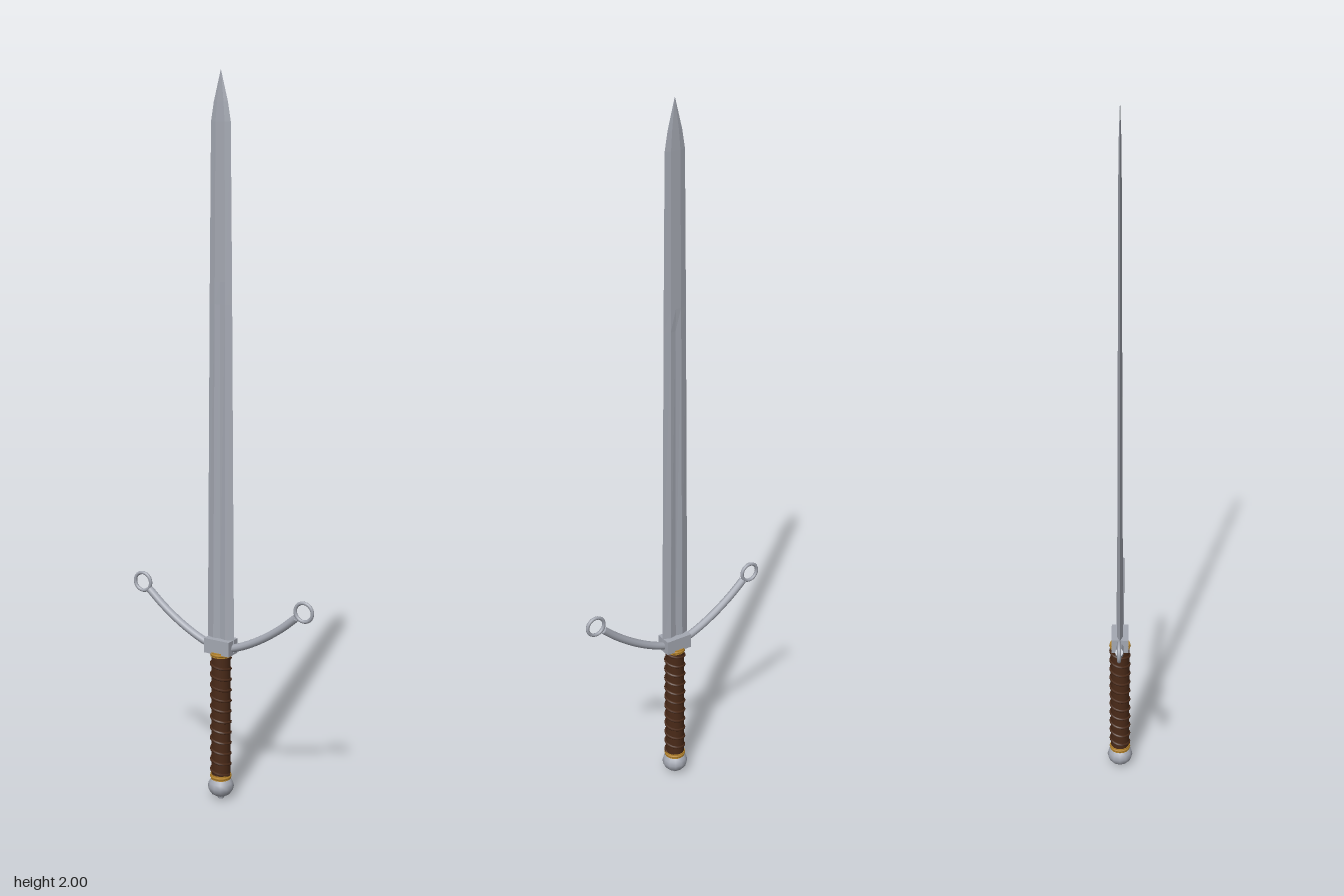
import * as THREE from 'three';

const mat = (color, flatShading = false) => new THREE.MeshStandardMaterial({ color, flatShading });

function add(parent, name, geometry, material, x = 0, y = 0, z = 0) {
  const mesh = new THREE.Mesh(geometry, material);
  mesh.name = name;
  mesh.position.set(x, y, z);
  parent.add(mesh);
  return mesh;
}

// Lofted blade: each station is [height, half width, half thickness, fuller depth]
function bladeGeometry(stations) {
  const pos = [], index = [], n = 8;
  for (const [y, w, t, d] of stations) {
    const r = w * 0.46, c = t - d;
    const ring = [[w, 0], [r, t], [0, c], [-r, t], [-w, 0], [-r, -t], [0, -c], [r, -t]];
    for (const [x, z] of ring) pos.push(x, y, z);
  }
  for (let s = 0; s < stations.length - 1; s++) {
    for (let i = 0; i < n; i++) {
      const a = s * n + i, b = s * n + (i + 1) % n;
      index.push(a, a + n, b, b, a + n, b + n);
    }
  }
  const g = new THREE.BufferGeometry();
  g.setAttribute('position', new THREE.Float32BufferAttribute(pos, 3));
  g.setIndex(index);
  g.computeVertexNormals();
  return g;
}

// Helical cord path around the grip
class Helix extends THREE.Curve {
  constructor(radius, y0, y1, turns) {
    super();
    Object.assign(this, { radius, y0, y1, turns });
  }
  getPoint(t, target = new THREE.Vector3()) {
    const a = t * this.turns * Math.PI * 2;
    return target.set(this.radius * Math.cos(a), this.y0 + (this.y1 - this.y0) * t, this.radius * Math.sin(a));
  }
}

export function createModel() {
  const sword = new THREE.Group();
  sword.name = 'sword';
  const steel = mat(0xa4a8b2), facetedSteel = mat(0xa4a8b2, true);
  const leather = mat(0x4a2a18), gold = mat(0xb8862d);

  // Blade with a shallow fuller that fades out before the point
  add(sword, 'blade', bladeGeometry([
    [0.44, 0.043, 0.009, 0.004],
    [0.6, 0.0415, 0.008, 0.004],
    [1.4, 0.035, 0.0055, 0.002],
    [1.46, 0.0345, 0.005, 0],
    [1.87, 0.03, 0.004, 0],
    [1.92, 0.0215, 0.003, 0],
    [2.0, 0.0004, 0.0004, 0],
  ]), facetedSteel);

  // Crossguard block
  add(sword, 'guardBlock', new THREE.BoxGeometry(0.08, 0.042, 0.048), facetedSteel, 0, 0.454);

  // Upswept arms ending in rings
  for (const side of [1, -1]) {
    const arm = new THREE.Group();
    arm.name = side > 0 ? 'leftGuardArm' : 'rightGuardArm';
    const path = new THREE.CatmullRomCurve3(
      [[0.02, 0.446], [0.07, 0.464], [0.13, 0.495], [0.19, 0.536], [0.237, 0.576]]
        .map(([x, y]) => new THREE.Vector3(x * side, y, 0)));
    add(arm, 'guardBar', new THREE.TubeGeometry(path, 20, 0.011, 10), steel);
    // End cap of the bar
    const cap = add(arm, 'barEnd', new THREE.CircleGeometry(0.011, 10), steel, 0.237 * side, 0.576);
    cap.quaternion.setFromUnitVectors(new THREE.Vector3(0, 0, 1), path.getTangent(1));
    add(arm, 'guardRing', new THREE.TorusGeometry(0.026, 0.005, 8, 24), steel, 0.26 * side, 0.595);
    sword.add(arm);
  }

  // Leather grip wound with cord
  add(sword, 'grip', new THREE.CylinderGeometry(0.027, 0.027, 0.37, 16), leather, 0, 0.248);
  add(sword, 'gripCord', new THREE.TubeGeometry(new Helix(0.027, 0.075, 0.42, 11), 220, 0.004, 6), leather);

  // Gold collars at both ends of the grip
  for (const [name, y] of [['upperCollar', 0.431], ['lowerCollar', 0.067]]) {
    add(sword, name, new THREE.CylinderGeometry(0.029, 0.029, 0.014, 16), gold, 0, y);
    add(sword, name + 'Bead', new THREE.TorusGeometry(0.027, 0.004, 6, 16), gold, 0, y).rotation.x = Math.PI / 2;
  }

  // Pommel with its small end button
  add(sword, 'pommel', new THREE.SphereGeometry(0.037, 12, 8), steel, 0, 0.037).scale.y = 0.85;
  add(sword, 'pommelButton', new THREE.CylinderGeometry(0.012, 0.009, 0.012, 10), steel, 0, 0.006);

  return sword;
}
